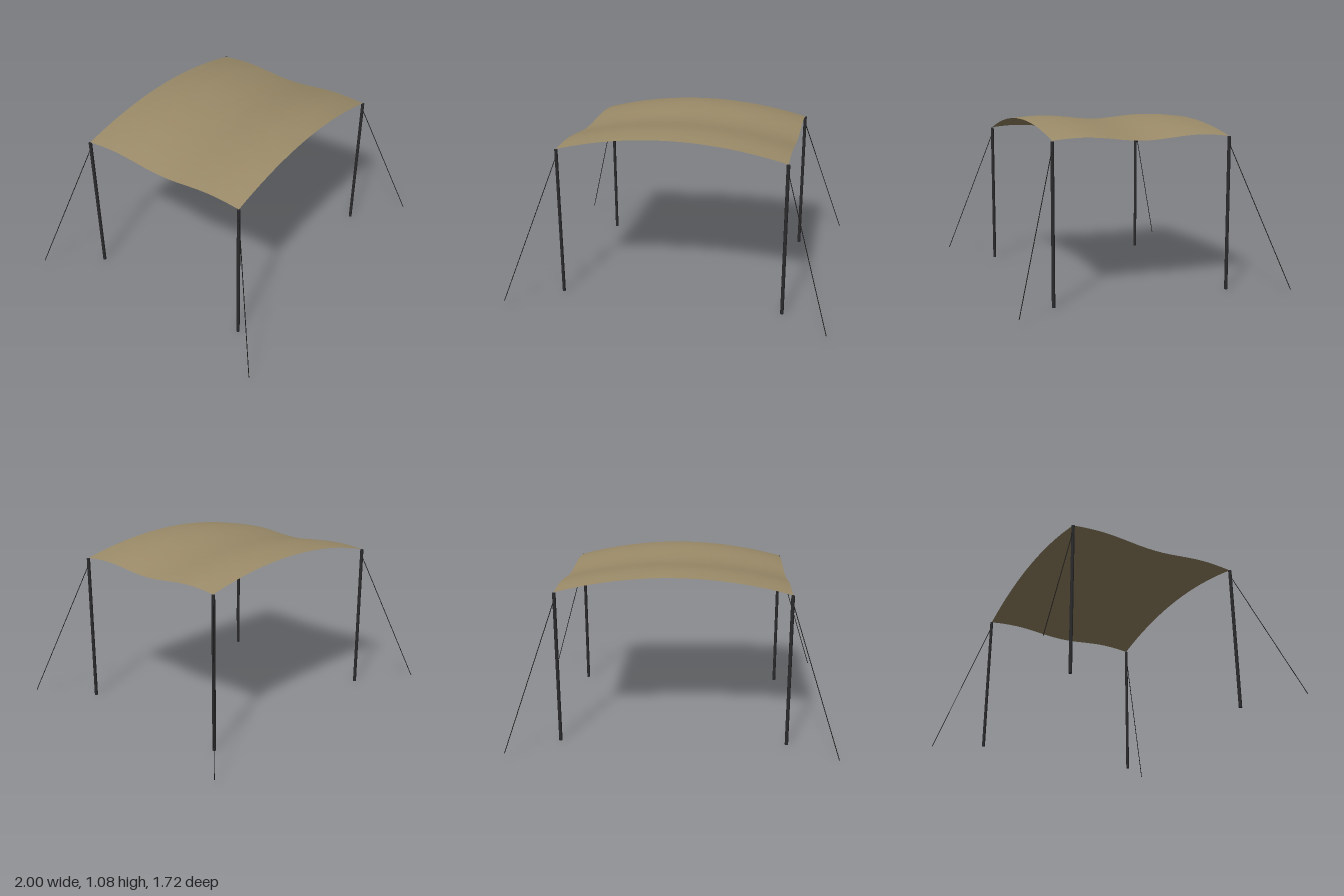
import * as THREE from 'three';

const HX = 0.713, HZ = 0.571;

// Arched across x, rippled along z
const clothHeight = (x, z) =>
  0.9675 + 0.095 * (1 - (x / HX) ** 2) - 0.0135 * Math.cos(1.5 * Math.PI * z / HZ);

// Cylinder running between two points
function rod(a, b, radius, sides, material, name) {
  const dir = b.clone().sub(a);
  const mesh = new THREE.Mesh(new THREE.CylinderGeometry(radius, radius, dir.length(), sides), material);
  mesh.position.copy(a).add(b).multiplyScalar(0.5);
  mesh.quaternion.setFromUnitVectors(new THREE.Vector3(0, 1, 0), dir.normalize());
  mesh.name = name;
  return mesh;
}

export function createModel() {
  const canvas = new THREE.MeshStandardMaterial({ color: 0x9a8a68, side: THREE.DoubleSide, flatShading: true });
  canvas.name = 'tan canvas';
  const metal = new THREE.MeshStandardMaterial({ color: 0x2b2b2d });
  metal.name = 'dark metal';
  const cord = new THREE.MeshStandardMaterial({ color: 0x1c1c1a });
  cord.name = 'black cord';

  const model = new THREE.Group();
  model.name = 'sunShelter';

  // Cloth roof
  const cloth = new THREE.PlaneGeometry(2 * HX, 2 * HZ, 20, 20).rotateX(-Math.PI / 2);
  const p = cloth.attributes.position;
  for (let i = 0; i < p.count; i++) p.setY(i, clothHeight(p.getX(i), p.getZ(i)));
  cloth.computeVertexNormals();
  const roof = new THREE.Mesh(cloth, canvas);
  roof.name = 'canopy';
  model.add(roof);

  // Corner poles and guy ropes
  for (const sx of [-1, 1]) for (const sz of [-1, 1]) {
    const at = (x, y, z) => new THREE.Vector3(sx * x, y, sz * z);
    model.add(rod(at(HX, 0, HZ), at(HX, 0.965, HZ), 0.0108, 8, metal, 'pole'));
    model.add(rod(at(HX, 0.925, HZ), at(0.999, 0.04, 0.856), 0.0024, 6, cord, 'guyRope'));
  }
  return model;
}
